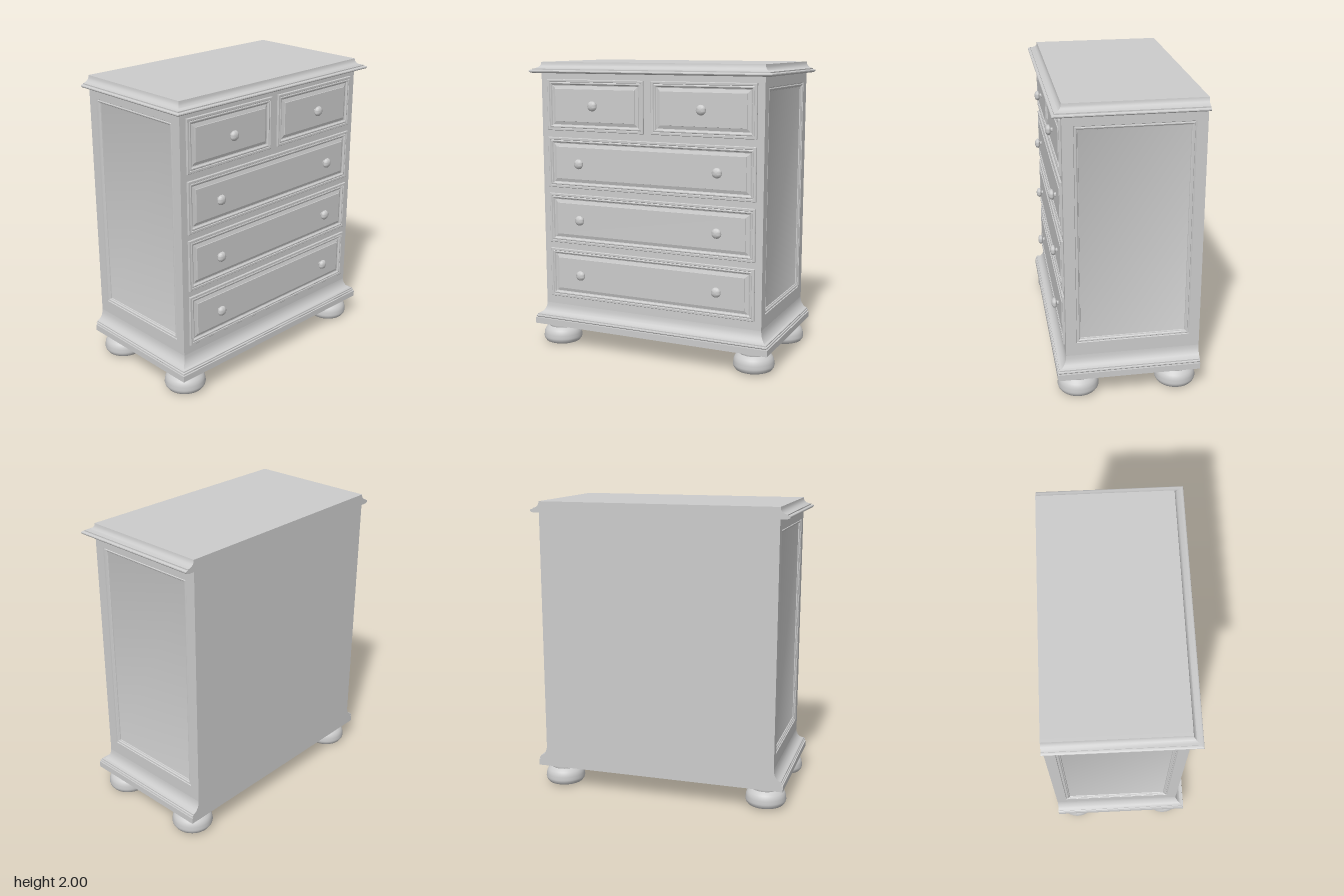
import * as THREE from 'three';
import { toCreasedNormals } from 'three/addons/utils/BufferGeometryUtils.js';

const material = new THREE.MeshStandardMaterial({ color: 0xcccccc, side: THREE.DoubleSide });
const HALF_W = 0.806, FRONT = 0.41, BACK = -0.473, BOTTOM = 0.155, TOP = 2;
const SIDE_T = 0.02, MID_Z = (FRONT + BACK) / 2;

function add(parent, name, geometry, x = 0, y = 0, z = 0) {
  const mesh = new THREE.Mesh(geometry, material);
  mesh.name = name;
  mesh.position.set(x, y, z);
  parent.add(mesh);
  return mesh;
}

function build(positions, index, crease) {
  const g = new THREE.BufferGeometry();
  g.setAttribute('position', new THREE.Float32BufferAttribute(positions, 3));
  g.setIndex(index);
  return toCreasedNormals(g, crease);
}

// Nested rectangles facing +z; each ring is [inset, height], the last one is filled.
function mouldedPanel(w, h, rings) {
  const pos = [], idx = [];
  for (const [inset, z] of rings) {
    const x = w / 2 - inset, y = h / 2 - inset;
    pos.push(-x, -y, z, x, -y, z, x, y, z, -x, y, z);
  }
  for (let r = 0; r < rings.length - 1; r++) {
    for (let k = 0; k < 4; k++) {
      const a = r * 4 + k, b = r * 4 + (k + 1) % 4;
      idx.push(a, b, b + 4, a, b + 4, a + 4);
    }
  }
  const l = (rings.length - 1) * 4;
  idx.push(l, l + 1, l + 2, l, l + 2, l + 3);
  return build(pos, idx, 0.4);
}

// Profile of [offset, y], top to bottom, mitred round the left, front and right; flat back ends.
function moulding(profile) {
  const pos = [], idx = [], n = profile.length;
  for (const [sx, atFront] of [[-1, 0], [-1, 1], [1, 1], [1, 0]]) {
    for (const [o, y] of profile) pos.push(sx * (HALF_W + o), y, atFront ? FRONT + o : BACK);
  }
  for (let i = 0; i < 3; i++) {
    for (let j = 0; j < n - 1; j++) {
      const a = i * n + j, b = a + n;
      idx.push(a, a + 1, b, b, a + 1, b + 1);
    }
  }
  const outline = profile.map(([o, y]) => new THREE.Vector2(o, y));
  for (const [a, b, c] of THREE.ShapeUtils.triangulateShape(outline, [])) {
    idx.push(a, b, c, 3 * n + a, 3 * n + c, 3 * n + b);
  }
  return build(pos, idx, 0.6);
}

function lathe(points, segments) {
  const g = new THREE.LatheGeometry(points.map(([r, y]) => new THREE.Vector2(r, y)), segments);
  return toCreasedNormals(g, 0.75);
}

function rectangle(target, w, h, y = 0) {
  target.moveTo(-w / 2, y - h / 2);
  target.lineTo(w / 2, y - h / 2);
  target.lineTo(w / 2, y + h / 2);
  target.lineTo(-w / 2, y + h / 2);
  target.closePath();
  return target;
}

export function createModel() {
  const model = new THREE.Group();
  model.name = 'chestOfDrawers';
  const height = TOP - BOTTOM, midY = (TOP + BOTTOM) / 2, depth = FRONT - BACK;

  // Carcass core
  add(model, 'carcass', new THREE.BoxGeometry((HALF_W - SIDE_T) * 2, height, depth), 0, midY, MID_Z);

  // Framed sides with a recessed, moulded panel
  const panelW = 0.745, panelH = 1.465, panelY = 1.125;
  const frame = rectangle(new THREE.Shape(), depth, height);
  frame.holes.push(rectangle(new THREE.Path(), panelW, panelH, panelY - midY));
  const frameGeo = new THREE.ExtrudeGeometry(frame, { depth: SIDE_T, bevelEnabled: false });
  const sideGeo = mouldedPanel(panelW, panelH, [
    [0, 0.02], [0.003, 0.014], [0.008, 0.014], [0.011, 0.018], [0.017, 0.017],
    [0.022, 0.011], [0.027, 0.009], [0.029, 0.003],
  ]);
  for (const s of [-1, 1]) {
    const side = new THREE.Group();
    side.name = s > 0 ? 'leftSide' : 'rightSide';
    side.position.set(s * (HALF_W - SIDE_T), 0, MID_Z);
    side.rotation.y = s * Math.PI / 2;
    add(side, 'sideFrame', frameGeo, 0, midY);
    add(side, 'sidePanel', sideGeo, 0, panelY);
    model.add(side);
  }

  // Crown and base mouldings
  add(model, 'crownMoulding', moulding([
    [0, 2], [0.002, 1.985], [0.008, 1.973], [0.019, 1.963], [0.034, 1.957], [0.046, 1.955],
    [0.046, 1.948], [0.057, 1.947], [0.062, 1.943], [0.063, 1.937], [0.059, 1.931],
    [0.045, 1.926], [0.02, 1.925], [0, 1.925],
  ]));
  add(model, 'baseMoulding', moulding([
    [0, 0.302], [0.002, 0.28], [0.009, 0.258], [0.02, 0.241], [0.034, 0.229], [0.05, 0.224],
    [0.05, 0.216], [0.057, 0.213], [0.058, 0.207], [0.052, 0.201], [0.052, 0.197],
    [0.062, 0.197], [0.062, BOTTOM], [0, BOTTOM],
  ]));

  // Drawers with fielded fronts and round knobs
  const knobGeo = lathe([
    [0.02, 0], [0.015, 0.006], [0.012, 0.013], [0.013, 0.02], [0.024, 0.022], [0.031, 0.026],
    [0.034, 0.033], [0.032, 0.041], [0.026, 0.048], [0.015, 0.053], [0, 0.055],
  ], 24).rotateX(Math.PI / 2);
  const drawerRings = [
    [0, 0], [0, 0.01], [0.003, 0.013], [0.016, 0.013], [0.019, 0.009], [0.024, 0.012],
    [0.03, 0.011], [0.036, 0.003], [0.042, 0.001], [0.064, 0.008], [0.065, 0.013],
  ];
  const drawerH = 0.348;
  function drawer(name, x, y, w, knobs) {
    const group = new THREE.Group();
    group.name = name;
    group.position.set(x, y, FRONT);
    add(group, 'drawerFront', mouldedPanel(w, drawerH, drawerRings));
    for (const kx of knobs) add(group, 'knob', knobGeo, kx, 0, 0.005);
    model.add(group);
  }
  drawer('topRightDrawer', -0.393, 1.711, 0.73, [0]);
  drawer('topLeftDrawer', 0.393, 1.711, 0.73, [0]);
  [1.316, 0.925, 0.534].forEach((y, i) => drawer('wideDrawer' + (i + 1), 0, y, 1.516, [-0.505, 0.505]));

  // Bun feet
  const footGeo = lathe([
    [0, 0], [0.06, 0.001], [0.098, 0.005], [0.122, 0.015], [0.134, 0.032], [0.138, 0.048],
    [0.135, 0.062], [0.135, 0.068], [0.132, 0.085], [0.123, 0.103], [0.108, 0.117],
    [0.098, 0.124], [0.101, 0.133], [0.1, 0.145], [0.096, 0.157],
  ], 40);
  for (const x of [-0.73, 0.73]) {
    add(model, 'frontFoot', footGeo, x, 0, 0.326);
    add(model, 'backFoot', footGeo, x, 0, -0.332);
  }
  return model;
}
